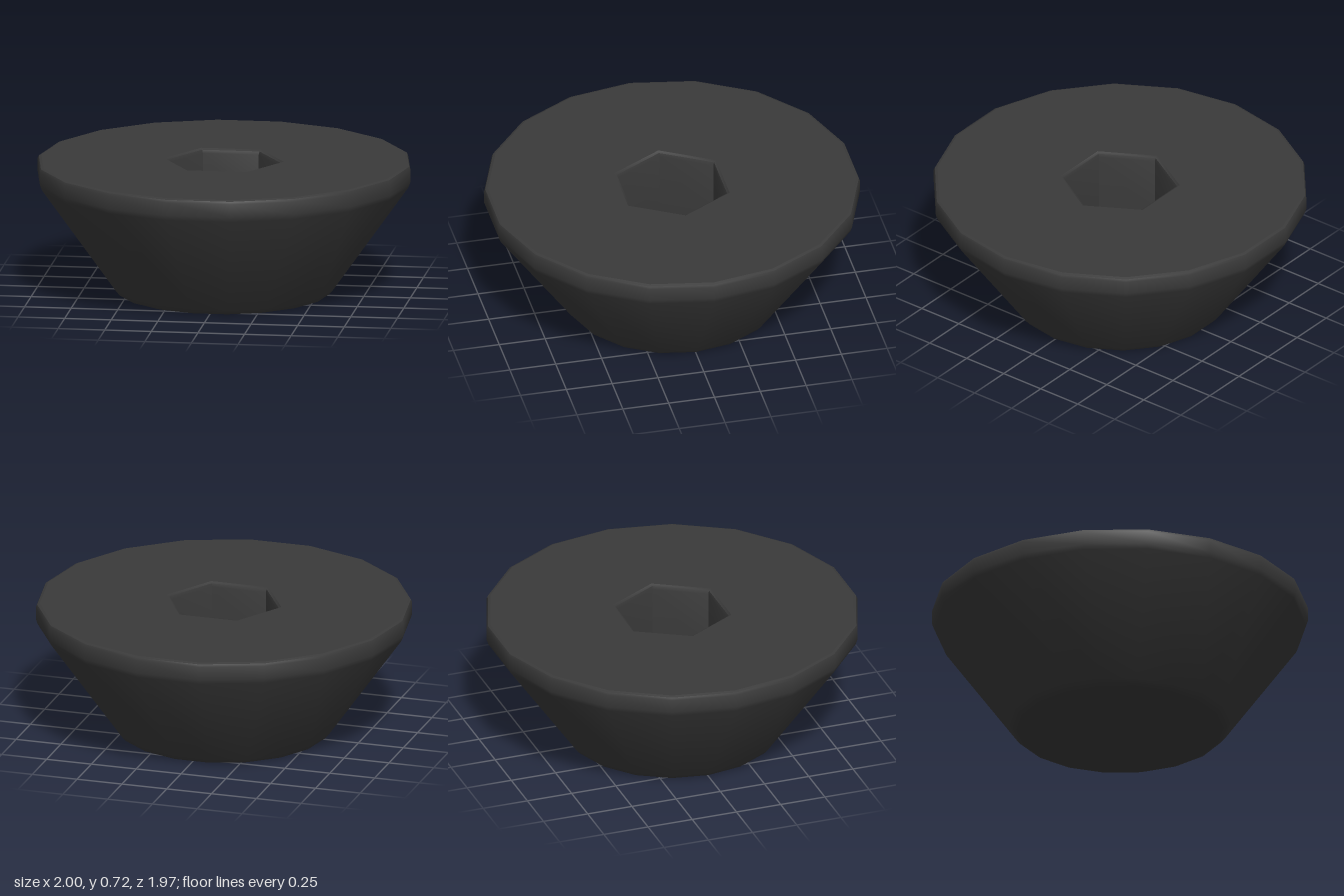
import * as THREE from 'three';
import { toCreasedNormals } from 'three/addons/utils/BufferGeometryUtils.js';

const TOP = 0.72;
const SIDES = 18;

// Corner points of a regular polygon with a corner on +x
function polygon(radius, sides) {
  return Array.from({ length: sides }, (_, i) => {
    const a = (i / sides) * Math.PI * 2;
    return new THREE.Vector2(radius * Math.cos(a), radius * Math.sin(a));
  });
}

// Revolved profile of [radius, height] pairs, with a corner on +x
function revolve(profile, sides, crease) {
  const points = profile.map(([r, y]) => new THREE.Vector2(r, y));
  return toCreasedNormals(new THREE.LatheGeometry(points, sides, Math.PI / 2), crease);
}

export function createModel() {
  const group = new THREE.Group();
  group.name = 'countersunkHead';
  const material = new THREE.MeshStandardMaterial({ color: 0x3a3a3a });

  const add = (name, geometry) => {
    const mesh = new THREE.Mesh(geometry, material);
    mesh.name = name;
    group.add(mesh);
    return mesh;
  };

  // Tapered body with softened lower edge and a short upright rim
  add('taperedBody', revolve([
    [0, 0], [0.54, 0], [0.565, 0.007], [0.585, 0.03],
    [0.99, 0.602], [1, 0.63], [1, 0.7], [0.994, 0.714], [0.98, TOP],
  ], SIDES, 0.75));

  // Flat top face around the socket opening
  const face = new THREE.Shape(polygon(0.98, SIDES));
  face.holes.push(new THREE.Path(polygon(0.32, 6)));
  add('topFace', new THREE.ShapeGeometry(face).rotateX(-Math.PI / 2).translate(0, TOP, 0));

  // Hexagonal socket with a chamfered lip and flat floor
  add('hexSocket', revolve([
    [0.32, TOP], [0.306, TOP - 0.008], [0.3, TOP - 0.025], [0.3, 0.34], [0, 0.34],
  ], 6, 0.6));

  return group;
}
